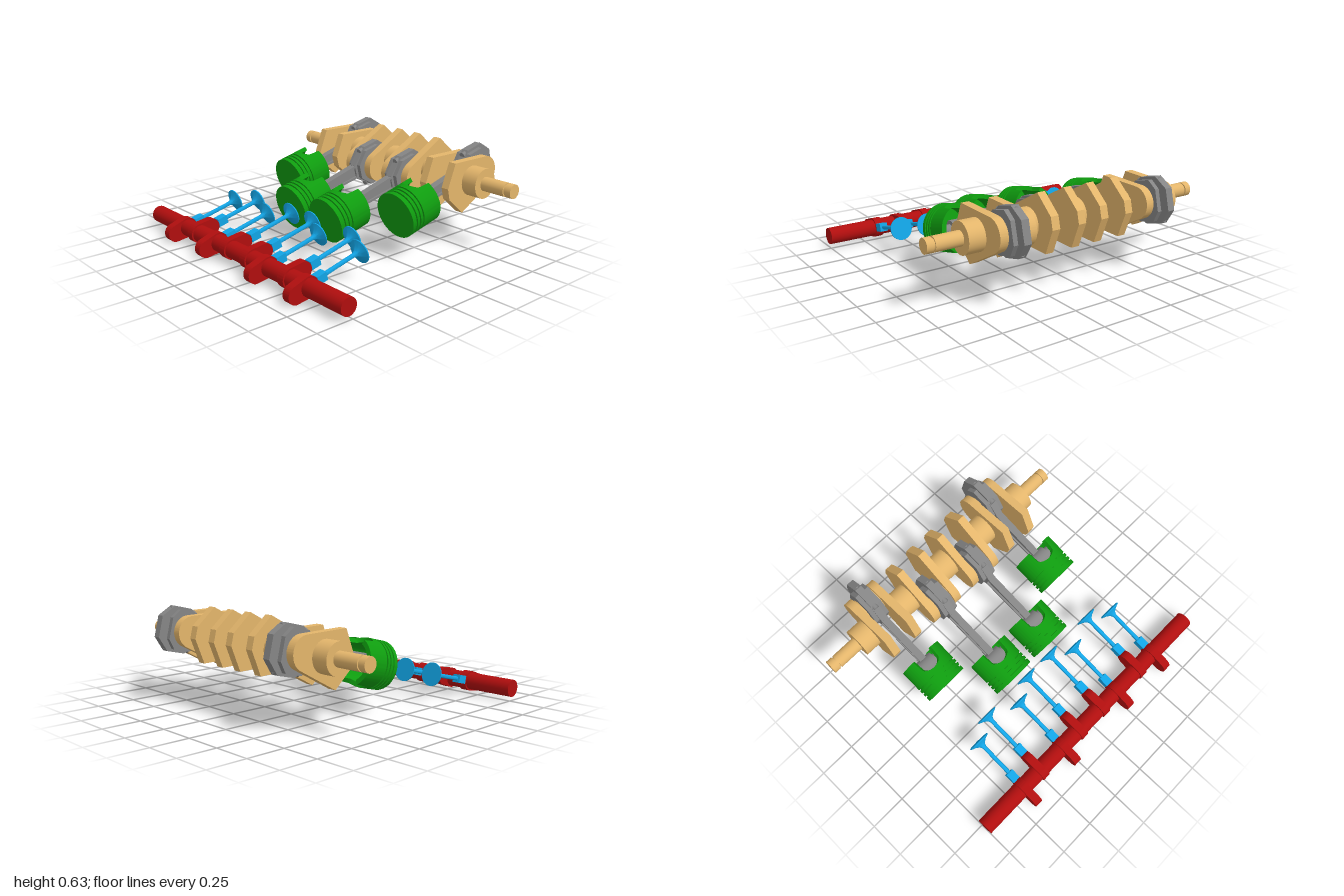
import * as THREE from 'three';
import { toCreasedNormals } from 'three/addons/utils/BufferGeometryUtils.js';

const paint = (color) => new THREE.MeshStandardMaterial({ color });
const TAN = paint(0xe3b56b), GREEN = paint(0x0f9d0f), GREY = paint(0x858585);
const RED = paint(0xb00e0e), BLUE = paint(0x12a5e6);

const THROW = 0.139;     // crank pin offset
const ROD = 0.56;        // rod length, pin to pin
const CAM_Y = 1.432;     // camshaft distance from the crank
const PISTON_R = 0.155;

function add(parent, name, geometry, material, x = 0, y = 0, z = 0) {
  const mesh = new THREE.Mesh(geometry, material);
  mesh.name = name;
  mesh.position.set(x, y, z);
  parent.add(mesh);
  return mesh;
}

// Plate lying across the engine, its thickness along x and centred
function plate(shape, width) {
  const g = new THREE.ExtrudeGeometry(shape, { depth: width, bevelEnabled: false, curveSegments: 24 });
  g.translate(0, 0, -width / 2).rotateY(Math.PI / 2);
  return toCreasedNormals(g, 0.5);
}

// Polygon mirrored about its centre line, from [halfWidth, y] pairs, with an optional bore
function mirrored(pairs, bore = 0) {
  const left = pairs.map(([x, y]) => new THREE.Vector2(-x, y)).reverse();
  const shape = new THREE.Shape([...pairs.map(([x, y]) => new THREE.Vector2(x, y)), ...left]);
  if (bore) shape.holes.push(new THREE.Path().absarc(0, 0, bore, 0, Math.PI * 2, true));
  return shape;
}

function lathe(pairs, segments = 32) {
  return new THREE.LatheGeometry(pairs.map(([r, y]) => new THREE.Vector2(r, y)), segments);
}

// Shaft running along x from x0 to x1
function shaft(parent, name, material, r, x0, x1, y = 0) {
  const g = new THREE.CylinderGeometry(r, r, x1 - x0, 40).rotateZ(Math.PI / 2);
  return add(parent, name, g, material, (x0 + x1) / 2, y);
}

function makeCrankshaft(cylinders) {
  const crank = new THREE.Group();
  crank.name = 'crankshaft';
  shaft(crank, 'mainJournal', TAN, 0.1, -0.06, 0.06);
  for (const s of [-1, 1]) {
    const span = (name, r, a, b) => shaft(crank, name, TAN, r, Math.min(s * a, s * b), Math.max(s * a, s * b));
    span('mainJournal', 0.1, 0.28, 0.44);
    span('mainJournal', 0.1, 0.63, 0.77);
    span('endShaft', 0.047, 0.76, 0.945);
    span('endGroove', 0.039, 0.94, 0.96);
    span('endCollar', 0.047, 0.955, 1);
  }
  // Webs: a wide counterweight opposite a rounded pin end
  const web = new THREE.Shape();
  web.moveTo(-0.18, 0.13);
  web.lineTo(-0.04, 0.23);
  web.lineTo(0.04, 0.23);
  web.lineTo(0.18, 0.13);
  web.absarc(0, -THROW, 0.105, -0.28, Math.PI + 0.28, true);
  const webGeometry = plate(web, 0.055);
  for (const { x, side } of cylinders) {
    shaft(crank, 'crankPin', TAN, 0.083, x - 0.08, x + 0.08, side * THROW);
    for (const dx of [-0.095, 0.095]) {
      const m = add(crank, 'crankWeb', webGeometry, TAN, x + dx);
      if (side > 0) m.rotation.x = Math.PI;
    }
  }
  return crank;
}

// Connecting rod with its big end at the origin
function makeRod() {
  const rod = new THREE.Group();
  rod.name = 'connectingRod';
  add(rod, 'bigEnd', plate(mirrored([[0.07, -0.12], [0.13, -0.07], [0.13, 0.05], [0.05, 0.13]], 0.083), 0.11), GREY);
  add(rod, 'capRib', plate(mirrored([[0.07, -0.18], [0.148, -0.1], [0.148, 0.03], [0.05, 0.15]], 0.083), 0.05), GREY);
  add(rod, 'rodWeb', plate(mirrored([[0.045, 0.1], [0.032, ROD - 0.04]]), 0.024), GREY);
  for (const s of [-1, 1]) {
    // Flanges of the I-section
    const flange = new THREE.Shape([[0.034, 0.1], [0.05, 0.1], [0.036, ROD - 0.03], [0.022, ROD - 0.03]]
      .map(([x, y]) => new THREE.Vector2(s * x, y)));
    add(rod, 'rodFlange', plate(flange, 0.05), GREY);
    add(rod, 'rodBolt', new THREE.CylinderGeometry(0.02, 0.02, 0.17, 16), GREY, 0, -0.015, s * 0.122);
    add(rod, 'boltHead', new THREE.CylinderGeometry(0.027, 0.027, 0.03, 6), GREY, 0, -0.1, s * 0.115);
  }
  shaft(rod, 'smallEnd', GREY, 0.06, -0.06, 0.06, ROD);
  shaft(rod, 'wristPin', GREY, 0.036, -0.14, 0.14, ROD);
  return rod;
}

// Hollow piston, open below, with ring grooves and two rounded skirt notches
function pistonGeometry() {
  const R = PISTON_R, profile = [[0, 0.235], [0, 0.235], [0.125, 0.235], [0.125, 0], [R, 0]];
  for (const y of [0.15, 0.18, 0.21]) {
    profile.push([R, y], [R - 0.012, y], [R - 0.012, y + 0.011], [R, y + 0.011]);
  }
  profile.push([R, 0.25], [0, 0.25]);
  const g = lathe(profile.slice(1), 120);
  const p = g.attributes.position;
  for (let i = 0; i < p.count; i++) {
    if (p.getY(i) !== 0) continue;
    const r = Math.hypot(p.getX(i), p.getZ(i));
    const x = p.getX(i) / r * R;
    if (Math.abs(x) < 0.077) p.setY(i, 0.06 + 0.7 * Math.sqrt(0.077 ** 2 - x * x));
  }
  return toCreasedNormals(g, 0.6);
}

// Cam lobe: base circle joined to a smaller tip circle by tangents
function lobeGeometry() {
  const base = 0.067, tip = 0.058, d = 0.092, a = Math.asin((base - tip) / d);
  const s = new THREE.Shape();
  s.absarc(0, 0, base, Math.PI - a, Math.PI * 2 + a, false);
  s.absarc(0, d, tip, a, Math.PI - a, false);
  return plate(s, 0.055);
}

function makeValve() {
  const valve = new THREE.Group();
  valve.name = 'valve';
  const head = lathe([[0, 0], [0.077, 0], [0.077, 0.007], [0.045, 0.02], [0.022, 0.036], [0.014, 0.055], [0.014, 0.3]]);
  add(valve, 'valveHeadAndStem', toCreasedNormals(head, 0.6), BLUE);
  add(valve, 'tappet', new THREE.BoxGeometry(0.055, 0.07, 0.055), BLUE, 0, 0.32);
  return valve;
}

export function createModel() {
  const model = new THREE.Group();
  model.name = 'engineInternals';

  // Inclined frame: its y axis runs from crankshaft to camshaft
  const engine = new THREE.Group();
  engine.name = 'inclinedAssembly';
  engine.position.set(0, 0.43, -0.61);
  engine.rotation.x = THREE.MathUtils.degToRad(104);
  model.add(engine);

  const cylinders = [[-0.537, -1], [-0.18, 1], [0.18, 1], [0.537, -1]].map(([x, side]) => ({ x, side }));
  engine.add(makeCrankshaft(cylinders));

  const piston = pistonGeometry(), rod = makeRod();
  for (const { x, side } of cylinders) {
    const r = rod.clone();
    r.position.set(x, side * THROW, 0);
    engine.add(r);
    add(engine, 'piston', piston, GREEN, x, side * THROW + 0.489);
  }

  // Camshaft, lobes and the valves they drive
  shaft(engine, 'camshaft', RED, 0.057, -1, 1, CAM_Y);
  const lobe = lobeGeometry(), valve = makeValve();
  for (const s of [-1, 1]) {
    for (const [x, open] of [[0.645, false], [0.488, true], [0.268, false], [0.11, true]]) {
      const m = add(engine, 'camLobe', lobe, RED, s * x, CAM_Y);
      if (open) m.rotation.x = Math.PI;
      const v = valve.clone();
      v.position.set(s * x, open ? 0.927 : 1.012, 0);
      engine.add(v);
    }
  }
  return model;
}
